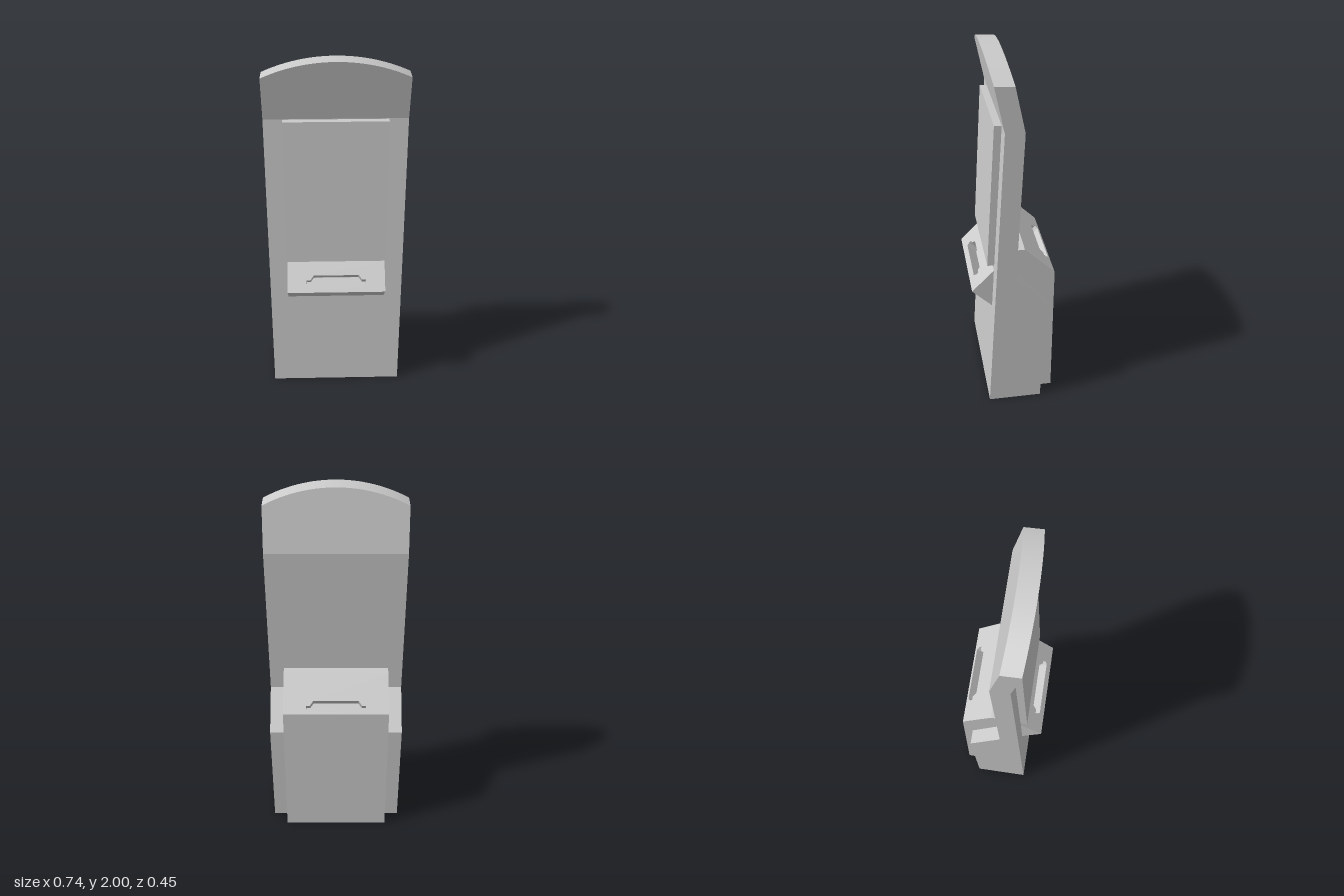
import * as THREE from 'three';
import { toCreasedNormals } from 'three/addons/utils/BufferGeometryUtils.js';

const material = new THREE.MeshStandardMaterial({ color: 0xcccccc });

function mesh(name, geometry) {
  const m = new THREE.Mesh(geometry, material);
  m.name = name;
  return m;
}

function fromTriangles(positions) {
  const g = new THREE.BufferGeometry();
  g.setAttribute('position', new THREE.Float32BufferAttribute(positions, 3));
  g.computeVertexNormals();
  return g;
}

// Side profile of [z, y] points (counter-clockwise, z to the right) swept from x = -w to w.
// The edge numbered "open" is left out.
function prism(profile, w, open = -1) {
  const out = [];
  const put = (x, [z, y]) => out.push(x, y, z);
  const contour = profile.map(([z, y]) => new THREE.Vector2(z, y));
  for (const [a, b, c] of THREE.ShapeUtils.triangulateShape(contour, [])) {
    for (const i of [a, b, c]) put(-w, profile[i]);
    for (const i of [a, c, b]) put(w, profile[i]);
  }
  profile.forEach((a, i) => {
    if (i === open) return;
    const b = profile[(i + 1) % profile.length];
    put(-w, b); put(-w, a); put(w, a);
    put(-w, b); put(w, a); put(w, b);
  });
  return fromTriangles(out);
}

// Slot outline, wide at the lower edge and narrow at the upper one
function slotOutline(v0) {
  const half = [[0.152, 0], [0.165, 0.016], [0.165, 0.034], [0.143, 0.034], [0.125, 0.06]];
  const mirrored = half.map(([x, v]) => [-x, v]).reverse();
  return [...half, ...mirrored].map(([x, v]) => new THREE.Vector2(x, v + v0));
}

// Sloping face with a recessed slot, from its lower [z, y] edge to its upper one
function slottedFace(lower, upper, w, v0, facing) {
  const depth = 0.07;
  const group = new THREE.Group();
  group.name = 'slottedFace';
  const u = new THREE.Vector3(facing, 0, 0);
  const v = new THREE.Vector3(0, upper[1] - lower[1], upper[0] - lower[0]);
  const length = v.length();
  v.normalize();
  const place = new THREE.Matrix4().makeBasis(u, v, u.clone().cross(v));
  place.setPosition(0, lower[1], lower[0]);

  const outline = slotOutline(v0);
  const face = new THREE.Shape([[-w, 0], [w, 0], [w, length], [-w, length]]
    .map(([x, y]) => new THREE.Vector2(x, y)));
  face.holes.push(new THREE.Path(outline));
  group.add(mesh('slopePlate', new THREE.ShapeGeometry(face).applyMatrix4(place)));

  // Walls face into the slot
  const walls = [];
  outline.forEach((a, i) => {
    const b = outline[(i + 1) % outline.length];
    walls.push(a.x, a.y, 0, b.x, b.y, 0, b.x, b.y, -depth);
    walls.push(a.x, a.y, 0, b.x, b.y, -depth, a.x, a.y, -depth);
  });
  group.add(mesh('slotWalls', fromTriangles(walls).applyMatrix4(place)));

  const floor = new THREE.ShapeGeometry(new THREE.Shape(outline));
  floor.translate(0, 0, -depth);
  group.add(mesh('slotFloor', floor.applyMatrix4(place)));
  return group;
}

// Arched head panel, sheared so that it leans forward
function headPanel(w, base, side, top) {
  const rise = top - side;
  const radius = (w * w + rise * rise) / (2 * rise);
  const angle = Math.asin(w / radius);
  const shape = new THREE.Shape();
  shape.moveTo(-w, base);
  shape.lineTo(w, base);
  shape.lineTo(w, side);
  shape.absarc(0, top - radius, radius, Math.PI / 2 - angle, Math.PI / 2 + angle, false);
  shape.lineTo(-w, base);
  const thickness = 0.1;
  const g = new THREE.ExtrudeGeometry(shape, { depth: thickness, bevelEnabled: false, curveSegments: 32 });
  const p = g.attributes.position;
  for (let i = 0; i < p.count; i++) {
    const y = p.getY(i);
    const back = thickness - p.getZ(i);
    p.setY(i, y - back * 0.05);
    p.setZ(i, 0.06 + (y - base) * 0.212 - back);
  }
  return toCreasedNormals(g, 0.5);
}

export function createModel() {
  const model = new THREE.Group();
  model.name = 'kiosk';

  // Main body: thick base rising into a thin, leaning panel
  model.add(mesh('body', prism([
    [-0.145, 0], [0.148, 0], [0.06, 1.675], [-0.04, 1.67], [0, 0.83], [-0.175, 0.64],
  ], 0.37)));
  model.add(mesh('headPanel', headPanel(0.37, 1.675, 1.912, 2)));

  // Raised screen
  model.add(mesh('screen', prism([
    [0.102, 0.862], [0.14, 0.865], [0.098, 1.675], [0.06, 1.672],
  ], 0.27)));

  // Front shelf with slot
  const shelf = new THREE.Group();
  shelf.name = 'shelf';
  const shelfProfile = [[0.115, 0.598], [0.225, 0.705], [0.104, 0.83]];
  shelf.add(mesh('shelfBody', prism(shelfProfile, 0.27, 1)));
  shelf.add(slottedFace(shelfProfile[1], shelfProfile[2], 0.27, 0.035, 1));
  model.add(shelf);

  // Rear housing with slot
  const housing = new THREE.Group();
  housing.name = 'rearHousing';
  const housingProfile = [
    [-0.225, 0], [-0.145, 0], [-0.175, 0.64], [0, 0.83], [0, 0.96], [-0.06, 0.96], [-0.225, 0.8],
  ];
  housing.add(mesh('housingBody', prism(housingProfile, 0.29, 5)));
  housing.add(slottedFace(housingProfile[6], housingProfile[5], 0.29, 0.014, -1));
  model.add(housing);

  return model;
}
